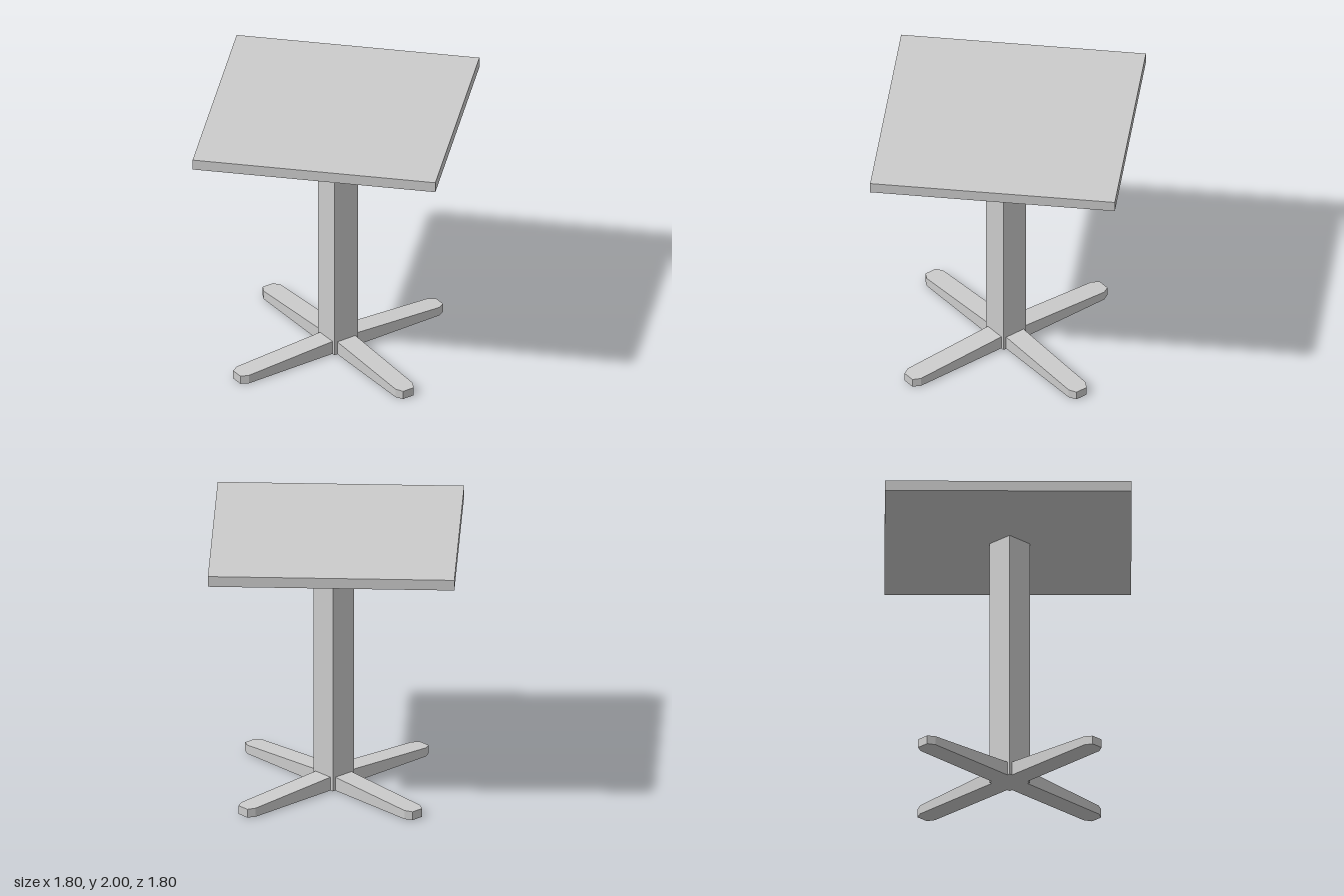
import * as THREE from 'three';

const material = new THREE.MeshStandardMaterial({ color: 0xcccccc });

function box(name, w, h, d, y) {
  const mesh = new THREE.Mesh(new THREE.BoxGeometry(w, h, d), material);
  mesh.name = name;
  mesh.position.y = y;
  return mesh;
}

// Foot along +x: plan outline with clipped corners at the tip, top sloping down outwards
function footGeometry() {
  const root = 0.1, tip = 0.9;
  const half = [[root, 0.08], [0.845, 0.077], [tip, 0.047]];
  const outline = [
    ...half.map(([x, z]) => new THREE.Vector2(x, -z)),
    ...half.map(([x, z]) => new THREE.Vector2(x, z)).reverse(),
  ];
  const geo = new THREE.ExtrudeGeometry(new THREE.Shape(outline), { depth: 1, bevelEnabled: false });
  geo.rotateX(-Math.PI / 2);
  const pos = geo.attributes.position;
  for (let i = 0; i < pos.count; i++) {
    const t = (pos.getX(i) - root) / (tip - root);
    pos.setY(i, pos.getY(i) * THREE.MathUtils.lerp(0.105, 0.065, t));
  }
  geo.computeVertexNormals();
  return geo;
}

export function createModel() {
  const table = new THREE.Group();
  table.name = 'pedestalTable';
  table.add(box('tableTop', 1.8, 0.08, 1.8, 1.96));

  // Pedestal turned 45 degrees, standing slightly off centre
  const pedestal = new THREE.Group();
  pedestal.name = 'pedestal';
  pedestal.position.set(0.018, 0, 0.012);
  pedestal.rotation.y = Math.PI / 4;
  pedestal.add(box('column', 0.21, 1.92, 0.21, 0.96));

  // Four feet in a cross
  const geo = footGeometry();
  for (let i = 0; i < 4; i++) {
    const foot = new THREE.Mesh(geo, material);
    foot.name = `foot${i + 1}`;
    foot.rotation.y = (i * Math.PI) / 2;
    pedestal.add(foot);
  }
  table.add(pedestal);
  return table;
}
